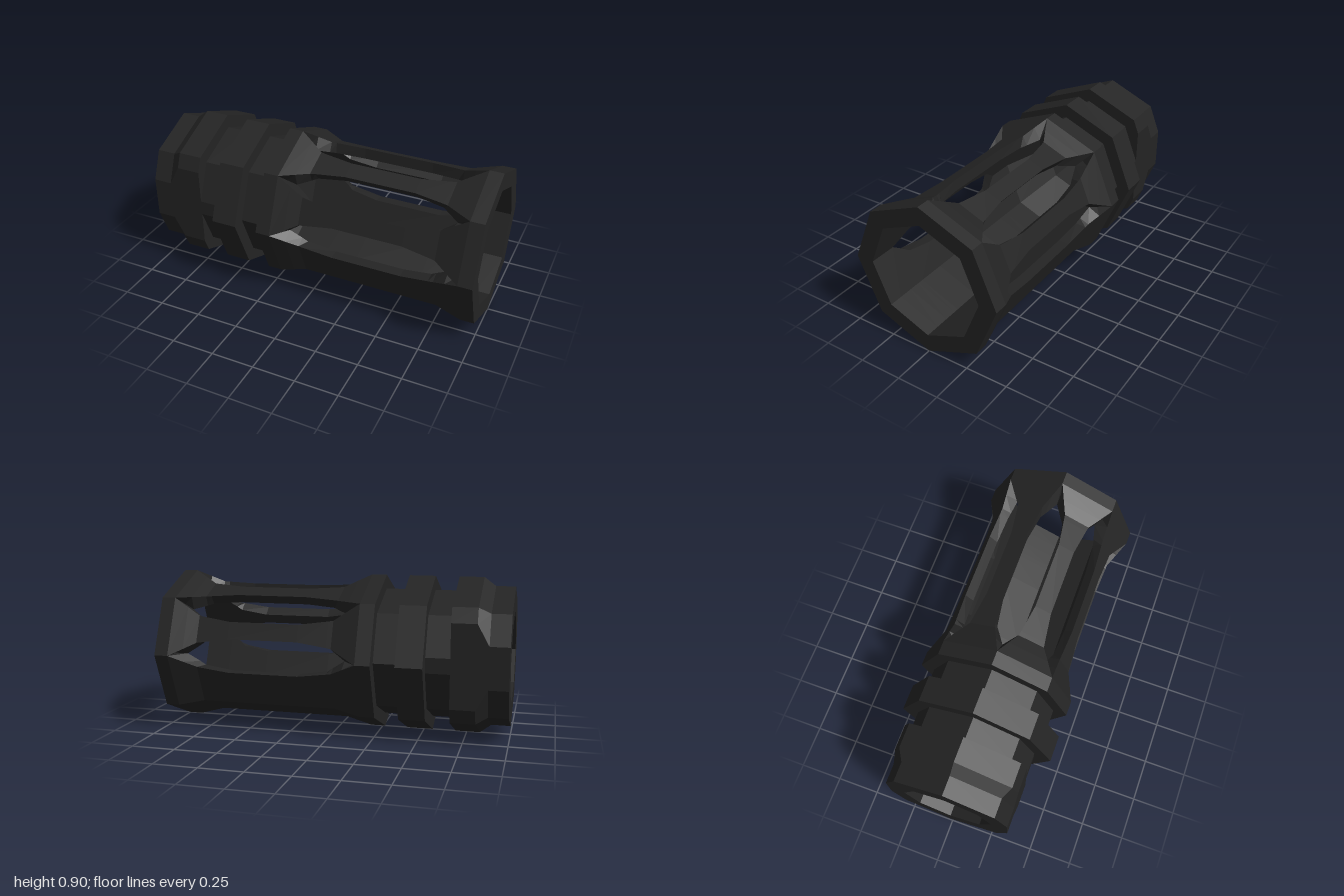
import * as THREE from 'three';

const R = 0.452;                    // largest radius, also the height of the axis
const TAN = Math.tan(Math.PI / 8);  // edge drop of an octagon per unit of offset

// Point near octagon corner k: moved sideways by w along the adjoining face.
function corner(x, r, k, w = 0) {
  const a = k * Math.PI / 4, c = Math.cos(a), s = Math.sin(a);
  const d = r - Math.abs(w) * TAN;
  return [x, R + d * s + w * c, d * c - w * s];
}

function addQuad(out, a, b, c, d) {
  out.push(...a, ...b, ...c, ...a, ...c, ...d);
}

// Closed cross-sections joined one after another.
function loft(out, rings) {
  for (let j = 0; j + 1 < rings.length; j++) {
    const p = rings[j], q = rings[j + 1], n = p.length;
    for (let i = 0; i < n; i++) {
      const m = (i + 1) % n;
      addQuad(out, p[i], q[i], q[m], p[m]);
    }
  }
}

function makeMesh(name, points, material) {
  const g = new THREE.BufferGeometry();
  g.setAttribute('position', new THREE.Float32BufferAttribute(points, 3));
  g.computeVertexNormals();
  const mesh = new THREE.Mesh(g, material);
  mesh.name = name;
  return mesh;
}

// Octagonal ring; the two side corners are cut flat at distance clip.
function ring([x, r, clip = 1]) {
  const pts = [];
  for (let k = 0; k < 8; k++) {
    if (k % 4 === 0) {
      const w = Math.max(0, (r - clip) / TAN);
      pts.push(corner(x, r, k, -w), corner(x, r, k, w));
    } else pts.push(corner(x, r, k));
  }
  return pts;
}

export function createModel() {
  const group = new THREE.Group();
  group.name = 'slottedTube';
  const steel = new THREE.MeshStandardMaterial({ color: 0x242424 });
  steel.name = 'blackSteel';

  // Collar: bore, rear face, chamfer, wrench flats and two grooves
  const FLAT = 0.354;
  const collar = [];
  loft(collar, [
    [-0.26, 0.345], [-0.6, 0.26], [-1, 0.26],
    [-1, 0.403, FLAT], [-0.89, 0.403, FLAT], [-0.825, R, FLAT], [-0.685, R, FLAT],
    [-0.685, 0.372, FLAT], [-0.55, 0.372, FLAT],
    [-0.55, R], [-0.4, R], [-0.4, 0.372], [-0.265, 0.372], [-0.265, R], [-0.26, R],
  ].map(ring));
  group.add(makeMesh('collar', collar, steel));

  // Cage stations: x, outer radius, slot half width outside and inside
  const stations = [
    [-0.26, R, 0, 0], [-0.18, R, 0, 0], [-0.1, 0.43, 0.037, 0],
    [-0.03, 0.41, 0.07, 0.046], [0, 0.41, 0.075, 0.068], [0.17, 0.41, 0.098, 0.095],
    [0.58, 0.41, 0.098, 0.095], [0.74, 0.41, 0.075, 0.068], [0.77, 0.41, 0.07, 0.046],
    [0.84, 0.43, 0.037, 0], [0.92, R, 0, 0], [1, R, 0, 0],
  ];
  const BORE = 0.345;
  const slotted = k => (k % 8 <= 4 ? 1 : 0); // the three lower corners stay closed

  // One bar for each octagon face, between neighbouring slots
  for (let k = 0; k < 8; k++) {
    const a = slotted(k), b = slotted(k + 1), bar = [];
    const sections = stations.map(([x, r, wo, wi]) => [
      corner(x, r, k, wo * a), corner(x, r, k + 1, -wo * b),
      corner(x, BORE, k + 1, -wi * b), corner(x, BORE, k, wi * a),
    ]);
    loft(bar, sections);
    const [oa, ob, ib, ia] = sections[sections.length - 1];
    addQuad(bar, oa, ia, ib, ob); // front rim
    group.add(makeMesh('cageBar' + (k + 1), bar, steel));
  }
  return group;
}
